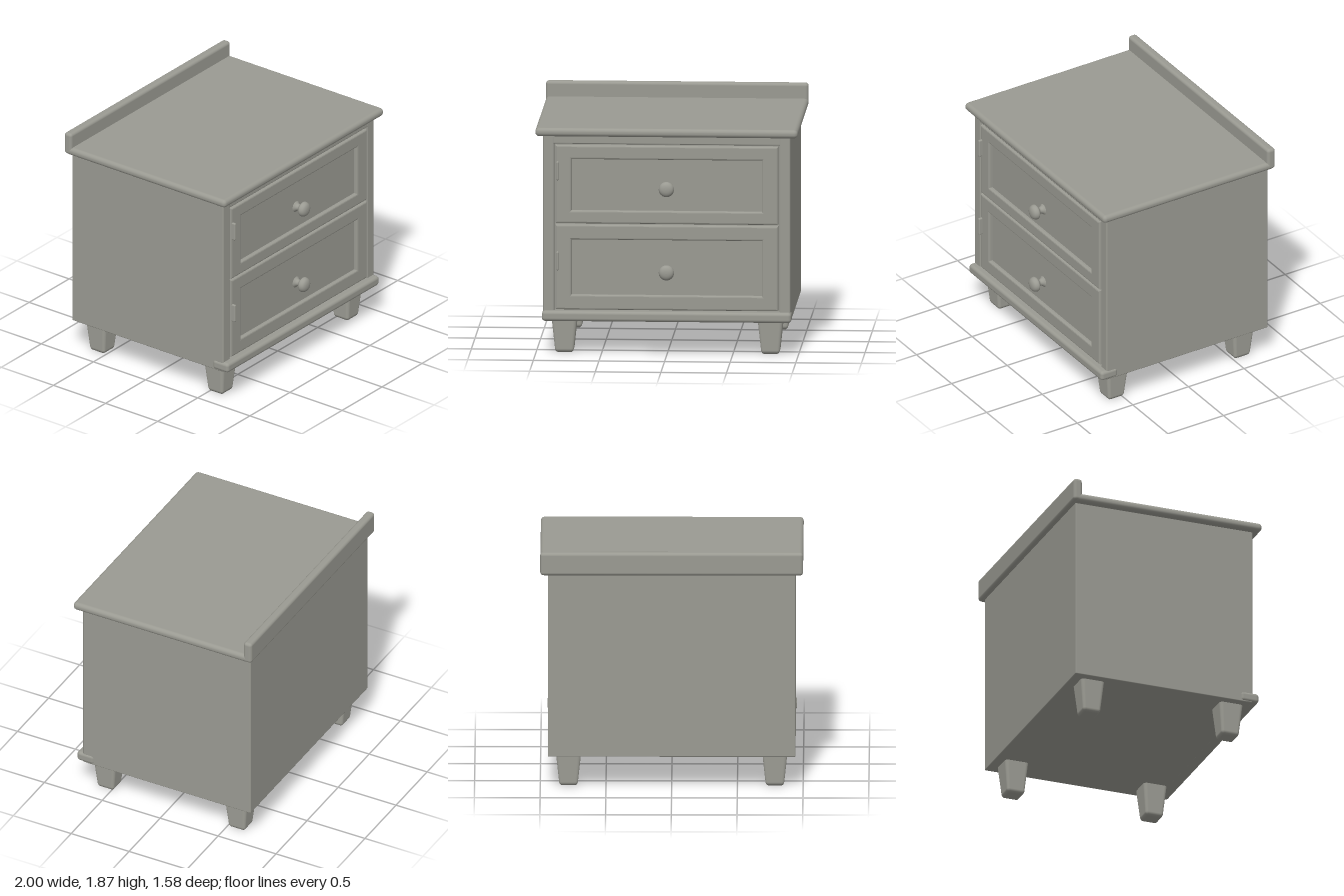
import * as THREE from 'three';
import { RoundedBoxGeometry } from 'three/addons/geometries/RoundedBoxGeometry.js';

const paint = new THREE.MeshStandardMaterial({ color: 0x9a9a92 });
paint.name = 'warmGrey';

export function createModel() {
  const model = new THREE.Group();
  model.name = 'nightstand';

  const add = (name, geometry, parent = model) => {
    const mesh = new THREE.Mesh(geometry, paint);
    mesh.name = name;
    parent.add(mesh);
    return mesh;
  };
  // Rounded block given by its extents on each axis
  const block = (name, [x0, x1], [y0, y1], [z0, z1], radius, parent) => {
    const mesh = add(name, new RoundedBoxGeometry(x1 - x0, y1 - y0, z1 - z0, 3, radius), parent);
    mesh.position.set((x0 + x1) / 2, (y0 + y1) / 2, (z0 + z1) / 2);
    return mesh;
  };
  const rectangle = (path, x, y0, y1) => {
    path.moveTo(-x, y0);
    path.lineTo(x, y0);
    path.lineTo(x, y1);
    path.lineTo(-x, y1);
    path.closePath();
    return path;
  };

  // Cabinet: carcass, front corner posts, top rail and base moulding
  block('carcass', [-0.942, 0.942], [0.255, 1.7], [-0.75, 0.66], 0.008);
  for (const side of [-1, 1]) {
    const xs = [side * 0.858, side * 0.942].sort((a, b) => a - b);
    block('cornerPost', xs, [0.255, 1.7], [0.6, 0.7], 0.012);
  }
  block('topRail', [-0.87, 0.87], [1.622, 1.7], [0.6, 0.7], 0.01);
  block('baseMoulding', [-0.95, 0.95], [0.26, 0.338], [0.6, 0.75], 0.025);

  // Top board and raised back lip
  block('topBoard', [-1, 1], [1.685, 1.75], [-0.775, 0.758], 0.03);
  block('backLip', [-1, 1], [1.69, 1.868], [-0.785, -0.715], 0.024);

  // Knob profile, turned around its axis
  const knobProfile = new THREE.SplineCurve([
    [0.05, 0], [0.03, 0.02], [0.025, 0.04], [0.035, 0.055], [0.055, 0.068],
    [0.058, 0.085], [0.047, 0.106], [0.025, 0.117], [0, 0.12],
  ].map(([r, h]) => new THREE.Vector2(r, h))).getPoints(28);
  knobProfile.forEach((p) => { p.x = Math.max(p.x, 0); });
  const knobGeometry = new THREE.LatheGeometry(knobProfile, 32).rotateX(Math.PI / 2);

  // Drawers: bevelled frame around a sunken panel, with knob and hinge
  const drawers = [
    { name: 'lowerDrawer', y: [0.345, 1.0], panel: [0.46, 0.885], knob: 0.642, hinge: [0.65, 0.795] },
    { name: 'upperDrawer', y: [1.01, 1.612], panel: [1.11, 1.505], knob: 1.285, hinge: [1.345, 1.49] },
  ];
  const bevel = 0.014;
  for (const d of drawers) {
    const drawer = new THREE.Group();
    drawer.name = d.name;
    model.add(drawer);
    const shape = rectangle(new THREE.Shape(), 0.848 - bevel, d.y[0] + bevel, d.y[1] - bevel);
    shape.holes.push(rectangle(new THREE.Path(), 0.725 + bevel, d.panel[0] - bevel, d.panel[1] + bevel));
    const frame = add('drawerFrame', new THREE.ExtrudeGeometry(shape, {
      depth: 0.06, bevelSize: bevel, bevelThickness: bevel, bevelSegments: 3,
    }), drawer);
    frame.position.z = 0.706 - 0.06 - bevel;
    block('sunkenPanel', [-0.76, 0.76], [d.panel[0] - 0.03, d.panel[1] + 0.03], [0.6, 0.676], 0.005, drawer);
    add('knob', knobGeometry, drawer).position.set(0, d.knob, 0.67);
    block('hinge', [-0.842, -0.82], d.hinge, [0.68, 0.735], 0.01, drawer);
  }

  // Tapered square legs: rounded blocks narrowed towards the floor
  const legHeight = 0.3;
  const legGeometry = new RoundedBoxGeometry(0.2, legHeight, 0.2, 4, 0.03);
  const pos = legGeometry.attributes.position;
  for (let i = 0; i < pos.count; i++) {
    const t = (pos.getY(i) + legHeight / 2) / legHeight;
    const scale = 0.69 + 0.31 * t;
    pos.setX(i, pos.getX(i) * scale);
    pos.setZ(i, pos.getZ(i) * scale);
  }
  for (const x of [-0.785, 0.785]) {
    for (const z of [0.553, -0.58]) add('leg', legGeometry, model).position.set(x, legHeight / 2, z);
  }

  return model;
}
